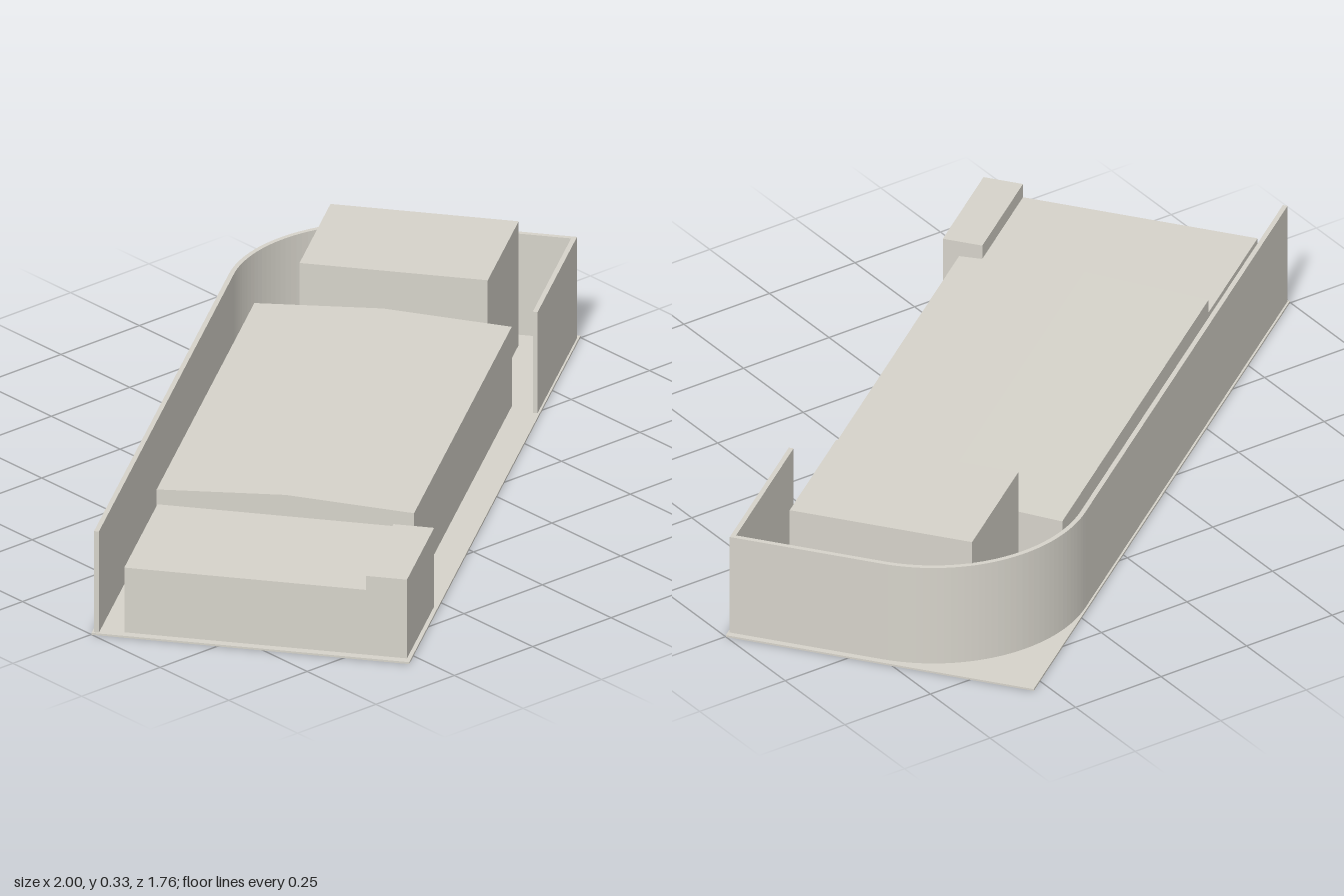
import * as THREE from 'three';

export function createModel() {
  const model = new THREE.Group();
  model.name = 'buildingMass';
  const stone = new THREE.MeshStandardMaterial({ color: 0xd6d3ca });
  stone.name = 'warm grey';

  // Everything is laid out along x, then turned on the ground.
  const site = new THREE.Group();
  site.name = 'site';
  site.rotation.y = 0.634;
  model.add(site);

  const add = (name, geometry) => {
    const mesh = new THREE.Mesh(geometry, stone);
    mesh.name = name;
    site.add(mesh);
    return mesh;
  };

  const block = (name, x0, x1, z0, z1, y0, y1) => {
    add(name, new THREE.BoxGeometry(x1 - x0, y1 - y0, z1 - z0))
      .position.set((x0 + x1) / 2, (y0 + y1) / 2, (z0 + z1) / 2);
  };

  const ground = 0.005;
  block('basePlate', -0.955, 0.955, -0.39, 0.39, 0, ground);
  block('lowWing', -0.935, -0.565, -0.314, 0.28, ground, 0.176);
  block('cornerBlock', -0.935, -0.632, 0.28, 0.38, ground, 0.213);
  block('tower', 0.525, 0.87, -0.205, 0.257, ground, 0.332);

  // Main hall with a shallow ridged roof.
  const section = new THREE.Shape();
  section.moveTo(-0.316, ground);
  section.lineTo(0.316, ground);
  section.lineTo(0.316, 0.215);
  section.lineTo(0, 0.232);
  section.lineTo(-0.316, 0.215);
  section.closePath();
  const hall = new THREE.ExtrudeGeometry(section, { depth: 1.09, bevelEnabled: false });
  hall.rotateY(Math.PI / 2);
  hall.translate(-0.565, 0, 0);
  add('mainHall', hall);

  // Thin screen wall: long back run, rounded corner, end and short front return.
  const r = 0.385, t = 0.012, cx = 0.555;
  const plan = new THREE.Shape();
  plan.moveTo(-0.95, r);
  plan.lineTo(cx, r);
  plan.absarc(cx, 0, r, Math.PI / 2, 0, true);
  plan.lineTo(cx + r, -r);
  plan.lineTo(0.5, -r);
  plan.lineTo(0.5, -r + t);
  plan.lineTo(cx + r - t, -r + t);
  plan.lineTo(cx + r - t, 0);
  plan.absarc(cx, 0, r - t, 0, Math.PI / 2, false);
  plan.lineTo(-0.95, r - t);
  plan.closePath();
  const wall = new THREE.ExtrudeGeometry(plan, { depth: 0.272 - ground, bevelEnabled: false, curveSegments: 18 });
  wall.rotateX(-Math.PI / 2);
  wall.translate(0, ground, 0);
  add('screenWall', wall);

  return model;
}
